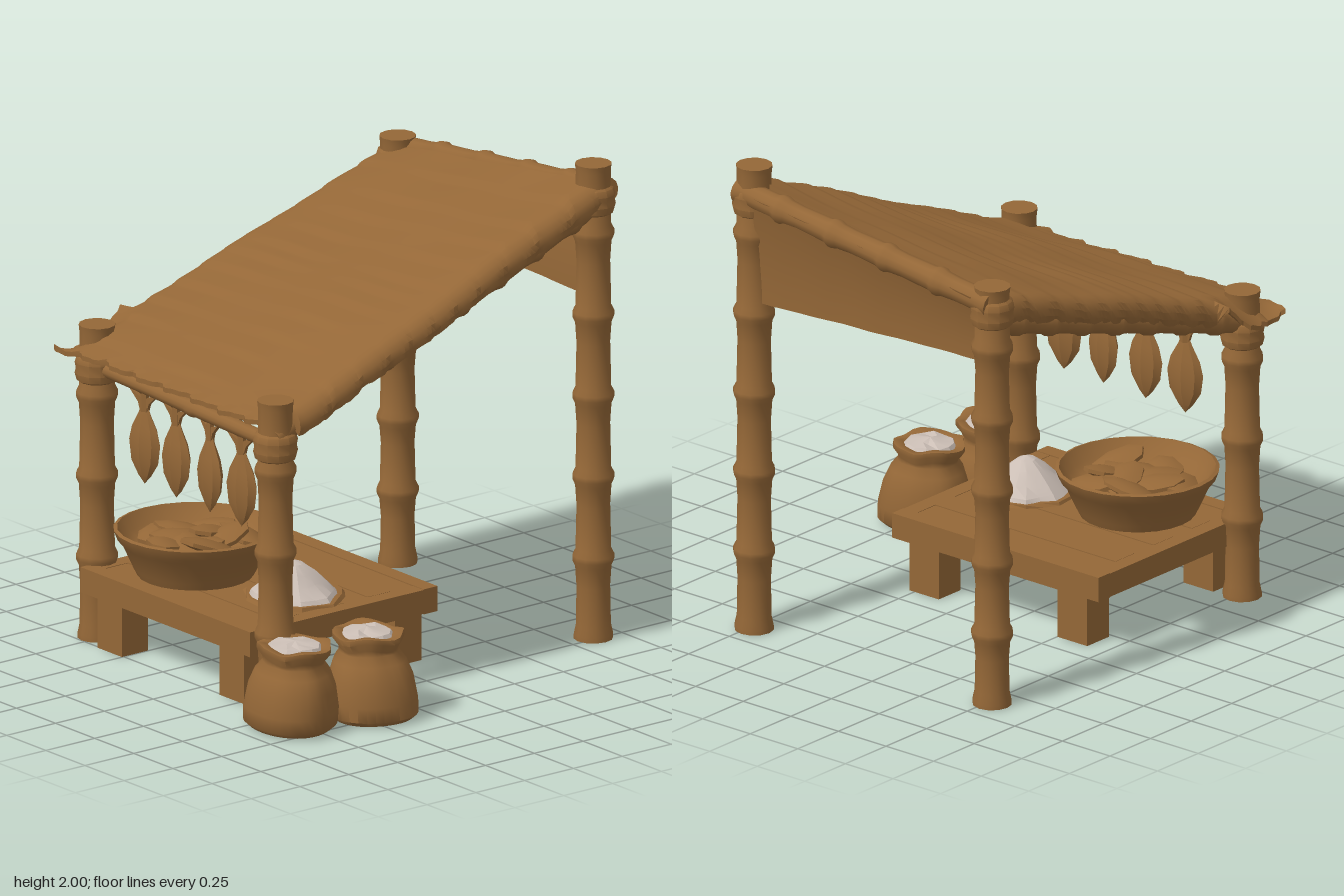
import * as THREE from 'three';
import { toCreasedNormals } from 'three/addons/utils/BufferGeometryUtils.js';

const V = (x, y, z) => new THREE.Vector3(x, y, z);
const wob = (x, y, z) => (Math.sin(x * 13 + z * 7.1 + 1) + Math.sin(z * 17 - x * 5.3 + y * 11) + Math.sin(y * 19 + x * 23 + 2)) / 3;

export function createModel() {
  const model = new THREE.Group();
  const wood = new THREE.MeshStandardMaterial({ color: 0x946737 });
  wood.name = 'brown wood and cloth';
  const salt = new THREE.MeshStandardMaterial({ color: 0xcbbeb5 });
  salt.name = 'pale salt';

  const add = (name, geo, mat = wood, parent = model, crease = 0.7) => {
    const mesh = new THREE.Mesh(toCreasedNormals(geo, crease), mat);
    mesh.name = name;
    parent.add(mesh);
    return mesh;
  };
  const warp = (geo, rule) => {
    const p = geo.attributes.position, v = new THREE.Vector3();
    for (let i = 0; i < p.count; i++) {
      rule(v.fromBufferAttribute(p, i));
      p.setXYZ(i, v.x, v.y, v.z);
    }
    return geo;
  };
  const lathe = (pts, sides) => new THREE.LatheGeometry(pts.map(([r, y]) => new THREE.Vector2(r, y)), sides);
  const box = (name, w, h, d, x, y, z, parent) =>
    add(name, new THREE.BoxGeometry(w, h, d), wood, parent).position.set(x, y, z);

  // bamboo cane with swollen joints, from a to b
  const bamboo = (name, a, b, r, joints) => {
    const len = a.distanceTo(b), step = len / (joints + 0.85);
    const pts = [[0, 0], [r * 1.12, 0], [r * 1.12, 0.02], [r, 0.06]];
    for (let i = 1; i <= joints; i++) {
      const y = i * step;
      pts.push([r * 0.96, y - step * 0.35], [r * 1.04, y - 0.035], [r * 1.2, y - 0.01], [r * 1.2, y + 0.01], [r * 1.02, y + 0.035]);
    }
    pts.push([r, len - 0.03], [r * 1.05, len], [0, len]);
    const cane = add(name, lathe(pts, 12), wood, model, 0.9);
    cane.position.copy(a);
    cane.quaternion.setFromUnitVectors(V(0, 1, 0), b.clone().sub(a).normalize());
  };

  // four posts with rope lashings
  const posts = [
    ['frontRightPost', 0.47, 0.75, 1.33, 3, 1.14], ['frontLeftPost', -0.77, 0.67, 1.32, 3, 1.14],
    ['backRightPost', 0.48, -0.87, 2, 5, 1.85], ['backLeftPost', -0.77, -0.87, 1.8, 5, 1.69],
  ];
  for (const [name, x, z, h, joints, tie] of posts) {
    bamboo(name, V(x, 0.005, z), V(x, h, z), 0.071, joints);
    add('lashing', lathe([[0.06, -0.065], [0.083, -0.05], [0.091, -0.02], [0.086, 0], [0.091, 0.025], [0.083, 0.05], [0.06, 0.065]], 12))
      .position.set(x, tie, z);
  }

  // beams
  bamboo('rightRoofBeam', V(0.49, 1.18, 0.78), V(0.49, 1.85, -0.9), 0.048, 8);
  bamboo('leftRoofBeam', V(-0.77, 1.17, 0.7), V(-0.77, 1.65, -0.9), 0.046, 7);
  bamboo('backRoofBeam', V(-0.8, 1.735, -0.905), V(0.53, 1.89, -0.905), 0.05, 4);
  bamboo('hangingBar', V(-0.77, 1.145, 0.67), V(0.47, 1.145, 0.75), 0.031, 1);

  // pleated roof sheet, wrapped over the side beams, with ragged ends
  const roofY = (x, z) => 1.23 + ((0.8 - z) / 1.65) * (0.525 + 0.17 * (x + 0.77) / 1.25) + 0.01 * wob(x * 0.5, 0, z * 0.6);
  add('roof', warp(new THREE.BoxGeometry(1, 0.02, 1, 56, 1, 72), v => {
    const lift = v.y, z = 0.81 - (0.5 - v.z) * 1.665;
    const pleat = (z * 7.3 + 0.3 * Math.sin(z * 5) + 20) % 1;
    const corner = z > 0.45;
    const ragged = Math.abs(v.x) > 0.49 ? 0.015 * Math.sin(z * 41) * Math.sin(z * 67) : 0;
    const start = (corner ? -0.88 : -0.9) + ragged, end = (z > 0.7 ? 0.5 : 0.62) + ragged * 0.5;
    const q = start + (v.x + 0.5) * (end - start);
    const side = q > 0.49 ? 0.49 : q < -0.77 && !corner ? -0.77 : q;
    const R = (side > 0 ? 0.06 : 0.052) * (1 + 0.13 * Math.sin(pleat * Math.PI));
    const a = (q - side) / R;
    v.x = side + (R + lift) * Math.sin(a);
    v.y = roofY(side, z) - R + (R + lift) * Math.cos(a) + 0.012 * (pleat - 0.5) * (0.7 + 0.5 * Math.sin(q * 9 + z * 4));
    v.y -= 2.5 * Math.max(0, z - 0.45) * (0.81 - z) * Math.max(0, -0.75 - side) / 0.13;
    v.z = z + (z > 0.8 ? 0.012 * Math.sin(q * 37) + 0.008 * Math.sin(q * 71) : 0);
  }), wood, model, 0.5);

  // cloth hanging from the back beam between the posts
  add('backCloth', warp(new THREE.BoxGeometry(1.16, 1, 0.016, 16, 8, 1), v => {
    const u = (v.x + 0.58) / 1.16, t = v.y + 0.5;
    const top = 1.765 + 0.13 * u, bottom = 1.475 - 0.05 * u;
    v.x -= 0.145;
    v.y = bottom + (top - bottom) * t;
    v.z += -0.885 - 0.055 * t * t + 0.008 * wob(v.x, 0, 0);
  }));

  // low table: frame, recessed planks and legs
  const table = new THREE.Group();
  table.name = 'table';
  model.add(table);
  for (const z of [-0.145, 0.745]) box('tableRail', 1.085, 0.105, 0.07, -0.1975, 0.275, z, table);
  for (const x of [-0.705, 0.31]) box('tableEnd', 0.07, 0.1, 0.83, x, 0.275, 0.3, table);
  for (let i = 0; i < 7; i++) box('tablePlank', 0.95, 0.04 + 0.006 * (i % 2), 0.116, -0.1975, 0.303, -0.055 + i * 0.118, table);
  for (const x of [-0.58, 0.2]) for (const z of [-0.085, 0.69]) box('tableLeg', 0.155, 0.28, 0.135, x, 0.145, z, table);

  // wide bowl with dried goods
  const bowl = new THREE.Group();
  bowl.name = 'bowl';
  bowl.position.set(-0.39, 0.33, 0.47);
  model.add(bowl);
  add('bowlShell', lathe([[0, 0], [0.235, 0], [0.25, 0.03], [0.295, 0.13], [0.315, 0.15], [0.33, 0.19], [0.315, 0.195], [0.28, 0.14], [0.24, 0.11], [0, 0.12]], 24), wood, bowl);
  for (let i = 0; i < 11; i++) {
    const a = i * 2.4, r = 0.05 + 0.014 * i;
    const piece = add('driedPiece', warp(new THREE.SphereGeometry(1, 8, 5), v => v.multiply(V(0.13, 0.026, 0.08))), wood, bowl);
    piece.position.set(Math.cos(a) * r, 0.14 + 0.01 * (i % 3), Math.sin(a) * r);
    piece.rotation.set(0.2 * Math.sin(i * 3), a * 1.7, 0.2 * Math.cos(i * 5));
  }

  // heap of salt on a small cloth
  const heap = (name, pts, mat) => add(name, warp(lathe(pts, 18), v => {
    const k = 1 + 0.1 * wob(v.x * 3, v.y, v.z * 3);
    v.set(v.x * k, v.y + 0.005 * wob(v.x * 5, 0, v.z * 5), v.z * k);
  }), mat, model, 0.3).position.set(0.09, 0.33, 0.35);
  heap('saltHeap', [[0.185, 0], [0.165, 0.028], [0.12, 0.065], [0.08, 0.107], [0.035, 0.14], [0, 0.15]], salt);
  heap('saltCloth', [[0.205, 0], [0.195, 0.012], [0, 0.014]], wood);

  // four hanging fish
  const tail = new THREE.Shape([[-0.014, -0.03], [0.014, -0.03], [0.03, 0.02], [0.075, 0.065], [0.02, 0.045], [0, 0.02], [-0.02, 0.045], [-0.075, 0.065], [-0.03, 0.02]]
    .map(([x, y]) => new THREE.Vector2(x, y)));
  [-0.48, -0.26, -0.025, 0.195].forEach((x, i) => {
    const fish = new THREE.Group();
    fish.name = 'hangingFish';
    fish.position.set(x, 0, 0.69 + 0.065 * x);
    fish.rotation.y = 0.15 * Math.sin(i * 2 + 1);
    model.add(fish);
    add('fishBody', lathe([[0, 0.72], [0.035, 0.755], [0.075, 0.815], [0.086, 0.89], [0.07, 0.95], [0.035, 1.01], [0.016, 1.05], [0, 1.06]], 8), wood, fish, 0.6).scale.z = 0.4;
    add('fishTail', new THREE.ExtrudeGeometry(tail, { depth: 0.016, bevelEnabled: false }), wood, fish).position.set(0, 1.04, -0.008);
    add('fishString', new THREE.CylinderGeometry(0.016, 0.02, 0.1, 6), wood, fish).position.y = 1.075;
    const loop = add('fishLoop', new THREE.TorusGeometry(0.034, 0.014, 6, 12), wood, fish);
    loop.position.y = 1.145;
    loop.rotation.y = Math.PI / 2;
  });

  // two open sacks of salt, mouths leaning a little sideways
  [[0.62, 0.79, 0.98, 0.88, 0, 0.025], [0.715, 0.455, 0.92, 0.87, 1.3, -0.03]].forEach(([x, z, sx, sz, turn, lean]) => {
    const sack = new THREE.Group();
    sack.name = 'sack';
    sack.position.set(x, 0.01, z);
    sack.scale.set(sx, 1, sz);
    model.add(sack);
    const tilt = v => { v.x += lean * v.y / 0.34; };
    add('sackCloth', warp(lathe([[0, 0], [0.18, 0], [0.205, 0.02], [0.207, 0.08], [0.192, 0.17], [0.165, 0.235], [0.135, 0.272], [0.135, 0.29], [0.162, 0.325], [0.16, 0.345], [0.125, 0.345], [0.1, 0.32], [0, 0.32]], 32), v => {
      const a = Math.atan2(v.z, v.x) + turn, up = Math.max(0, v.y - 0.1) * 4;
      const k = 1 + 0.04 * Math.sin(a * 3) + 0.03 * up * Math.sin(a * 8);
      v.x *= k;
      v.z *= k;
      if (v.y > 0.28) v.y += 0.008 * Math.sin(a * 4);
      tilt(v);
    }), wood, sack, 0.9);
    add('sackSalt', warp(lathe([[0.125, 0.325], [0.108, 0.347], [0.05, 0.356], [0, 0.358]], 12), v => {
      v.y += 0.008 * wob(v.x * 5, turn, v.z * 5);
      tilt(v);
    }), salt, sack, 0.3);
  });

  return model;
}
